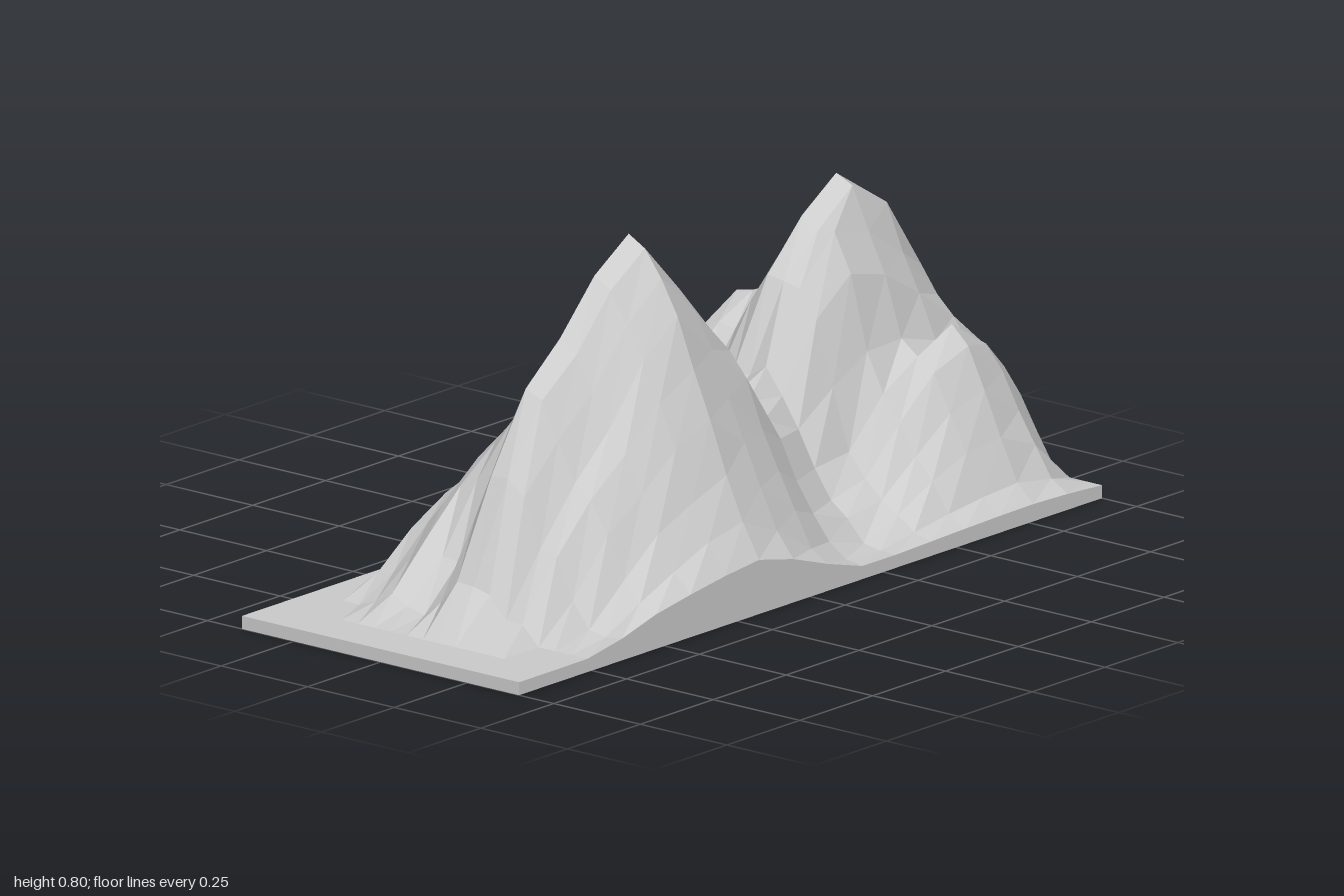
import * as THREE from 'three';

const N = 17, BASE = 0.03;
const stone = new THREE.MeshStandardMaterial({ color: 0xcbcbcb, flatShading: true });
stone.name = 'stone grey';

// Each mountain: values for the 18 grid rows, from back to front, and the
// shape of its two sides as [position, share of the crest height]
const west = {
  crest: [.08, .16, .26, .34, .42, .49, .57, .655, .74, .805, .78, .72, .645, .52, .42, .30, .20, .125],
  crestX: [-.176, -.176, -.176, -.12, -.1, -.08, -.07, -.07, -.15, -.176, -.176, -.176, -.176, -.176, -.176, -.176, -.176, -.176],
  leftX: [-.42, -.53, -.75, -.76, -.8, -.85, -.8, -.78, -.82, -.88, -.88, -.88, -.82, -.85, -.76, -.7, -.7, -.77],
  rightX: [.3, .3, .3, .34, .39, .41, .41, .41, .41, .41, .41, .41, .40, .36, .31, .26, .2, .18],
  rightY: new Array(N + 1).fill(BASE),
  rise: [[0, 0], [.167, .14], [.333, .43], [.5, .645], [.667, .76], [.833, .91], [1, 1]],
  fall: [[0, 1], [.2, .84], [.4, .68], [.6, .42], [.8, .15], [1, 0]],
};
const east = {
  crest: [.25, .29, .38, .455, .475, .52, .65, .74, .72, .66, .565, .41, .41, .37, .28, .18, .08, .04],
  crestX: [.647, .647, .58, .529, .529, .6, .647, .647, .647, .56, .529, .56, .765, .765, .765, .765, .765, .765],
  leftX: [.06, .08, .08, .06, .02, .04, .06, .06, .06, .06, .1, .14, .22, .27, .29, .29, .29, .29],
  rightX: new Array(N + 1).fill(1),
  rightY: [.03, .075, .145, .21, .26, .29, .295, .29, .29, .29, .285, .25, .195, .12, .05, .03, .03, .03],
  rise: [[0, 0], [.2, .25], [.4, .48], [.6, .75], [.8, .9], [1, 1]],
  fall: [[0, 1], [.333, .84], [.667, .47], [1, 0]],
};
// Floor of the saddle between the mountains, as [z, height]
const saddle = [[-.3, .03], [-.2, .18], [-.12, .31], [0, .345], [.09, .32], [.185, .155], [.3, .04], [.34, .03]];

function sample(points, x) {
  if (x <= points[0][0]) return points[0][1];
  for (let i = 1; i < points.length; i++) {
    const [x0, y0] = points[i - 1], [x1, y1] = points[i];
    if (x <= x1) return y0 + (y1 - y0) * (x - x0) / (x1 - x0);
  }
  return points[points.length - 1][1];
}

// Height of one mountain at x in grid row j
function mountain(m, x, j) {
  const top = m.crest[j], cx = m.crestX[j];
  if (x < cx) return BASE + (top - BASE) * sample(m.rise, (x - m.leftX[j]) / (cx - m.leftX[j]));
  return m.rightY[j] + (top - m.rightY[j]) * sample(m.fall, (x - cx) / (m.rightX[j] - cx));
}

// Repeatable roughness in -0.5..0.5 for each grid point
function rough(i, j) {
  const s = Math.sin(i * 127.1 + j * 311.7) * 43758.5453;
  return s - Math.floor(s) - 0.5;
}

function height(i, j) {
  const x = -1 + 2 * i / N, z = -0.4 + 0.8 * j / N;
  // Hollow in the front shoulder of the west mountain
  const hollow = 0.07 * Math.exp(-(((x + 0.47) / 0.14) ** 2) - ((z - 0.15) / 0.06) ** 2);
  let y = Math.max(mountain(west, x, j) - hollow, mountain(east, x, j));
  if (i === 10 || i === 11) y = Math.max(y, sample(saddle, z));
  const inside = i > 0 && i < N && j > 0 && j < N;
  if (inside && y > BASE + 0.05 && y < 0.66) y += 0.018 * rough(i, j);
  return Math.max(BASE, y);
}

export function createModel() {
  const group = new THREE.Group();
  group.name = 'mountainTerrain';

  // A slab whose top grid is raised into the two mountains
  const geometry = new THREE.BoxGeometry(2, 1, 0.8, N, 1, N);
  const p = geometry.attributes.position;
  for (let k = 0; k < p.count; k++) {
    const i = Math.round((p.getX(k) + 1) * N / 2);
    const j = Math.round((p.getZ(k) + 0.4) * N / 0.8);
    p.setY(k, p.getY(k) > 0 ? height(i, j) : 0);
  }
  const flat = geometry.toNonIndexed();
  flat.computeVertexNormals();

  const terrain = new THREE.Mesh(flat, stone);
  terrain.name = 'mountainsOnSlab';
  group.add(terrain);
  return group;
}
